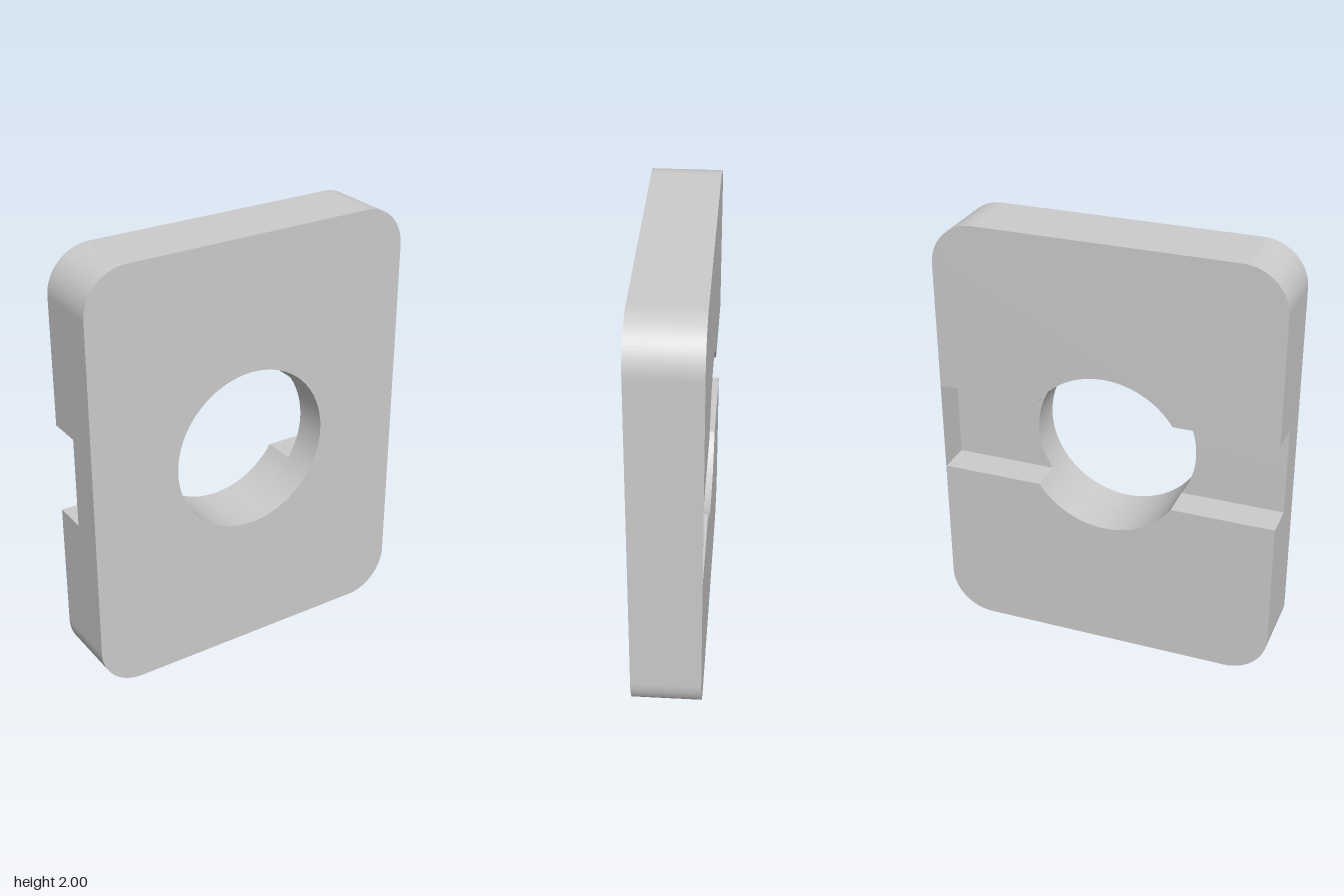
import * as THREE from 'three';
import { toCreasedNormals } from 'three/addons/utils/BufferGeometryUtils.js';

const W = 0.793;     // half width
const H = 2;         // height
const D = 0.157;     // depth of each half of the plate
const R = 0.2;       // corner radius
const HOLE = 0.38;   // bore radius
const G = 0.21;      // half height of the groove
const SKIN = 0.002;  // thin wall closing the groove at its +x end
const CY = H / 2;

// Outer edge, counter-clockwise from a point on the left side round to another
function traceOutline(shape, yStart, yEnd) {
  shape.moveTo(-W, yStart);
  shape.lineTo(-W, R);
  shape.absarc(-W + R, R, R, Math.PI, Math.PI * 1.5, false);
  shape.absarc(W - R, R, R, -Math.PI / 2, 0, false);
  shape.absarc(W - R, H - R, R, 0, Math.PI / 2, false);
  shape.absarc(-W + R, H - R, R, Math.PI / 2, Math.PI, false);
  shape.lineTo(-W, yEnd);
}

function slab(name, shape, z, material) {
  const raw = new THREE.ExtrudeGeometry(shape, { depth: D, bevelEnabled: false, curveSegments: 32 });
  const mesh = new THREE.Mesh(toCreasedNormals(raw, 0.5), material);
  mesh.name = name;
  mesh.position.z = z;
  return mesh;
}

export function createModel() {
  const group = new THREE.Group();
  group.name = 'groovedPlate';
  const material = new THREE.MeshStandardMaterial({ color: 0xcccccc });

  // Front half: rounded plate with a round bore
  const front = new THREE.Shape();
  traceOutline(front, CY, CY);
  const bore = new THREE.Path();
  bore.absarc(0, CY, HOLE, 0, Math.PI * 2, true);
  front.holes.push(bore);
  group.add(slab('frontPlate', front, 0, material));

  // Back half: the same plate cut by a horizontal groove, open at -x
  const back = new THREE.Shape();
  const a = Math.asin(G / HOLE);
  const x = HOLE * Math.cos(a);
  traceOutline(back, CY - G, CY + G);
  back.lineTo(-x, CY + G);
  back.absarc(0, CY, HOLE, Math.PI - a, a, true);
  back.lineTo(W - SKIN, CY + G);
  back.lineTo(W - SKIN, CY - G);
  back.lineTo(x, CY - G);
  back.absarc(0, CY, HOLE, -a, -Math.PI + a, true);
  back.closePath();
  group.add(slab('groovedBackPlate', back, -D, material));

  return group;
}
